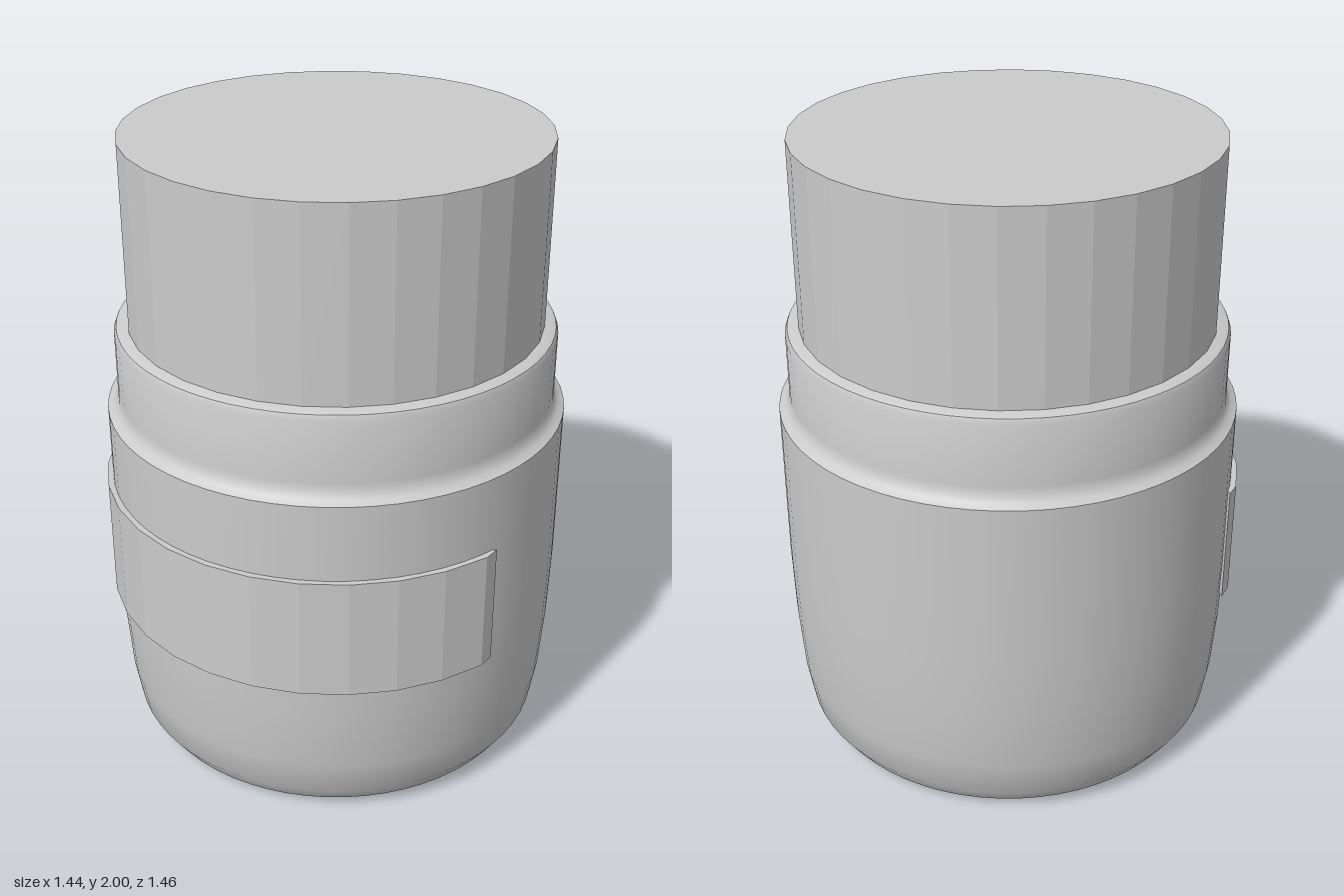
import * as THREE from 'three';
import { toCreasedNormals } from 'three/addons/utils/BufferGeometryUtils.js';

const CENTER_Z = -0.012;

export function createModel() {
  const model = new THREE.Group();
  model.name = 'jar';
  const smooth = new THREE.MeshStandardMaterial({ color: 0xcccccc });
  const faceted = new THREE.MeshStandardMaterial({ color: 0xcccccc, flatShading: true });

  const add = (name, geometry, material, y = 0) => {
    const mesh = new THREE.Mesh(geometry, material);
    mesh.name = name;
    mesh.position.set(0, y, CENTER_Z);
    model.add(mesh);
  };

  // Body: rounded base, slightly bulging wall, stepped shoulder and collar
  const profile = [
    [0, 0.005], [0.6, 0.005], [0.645, 0.025], [0.682, 0.08], [0.702, 0.2],
    [0.716, 0.4], [0.722, 0.62], [0.722, 1.14], [0.702, 1.152], [0.69, 1.17],
    [0.687, 1.195], [0.687, 1.39], [0.68, 1.407], [0.667, 1.413], [0, 1.413],
  ].map(([r, y]) => new THREE.Vector2(r, y));
  add('body', toCreasedNormals(new THREE.LatheGeometry(profile, 64), 0.55), smooth);

  // Lid: plain faceted cylinder
  add('lid', new THREE.CylinderGeometry(0.645, 0.645, 0.61, 32), faceted, 1.695);

  // Label: curved plate around the front, with tapered ends
  const step = Math.PI / 16;
  const outline = [];
  const point = (r, a) => outline.push(new THREE.Vector2(r * Math.sin(a), -r * Math.cos(a)));
  point(0.73, -6.35 * step);
  for (let i = -6; i <= 6; i++) point(0.742, i * step);
  point(0.73, 6.35 * step);
  for (let i = 6; i >= -6; i--) point(0.7, i * step);
  const plate = new THREE.ExtrudeGeometry(new THREE.Shape(outline), { depth: 0.39, bevelEnabled: false });
  plate.rotateX(-Math.PI / 2);
  add('label', plate, faceted, 0.505);

  // Base foot: flat disc the jar stands on
  add('foot', new THREE.CylinderGeometry(0.61, 0.59, 0.012, 32), faceted, 0.006);

  return model;
}
